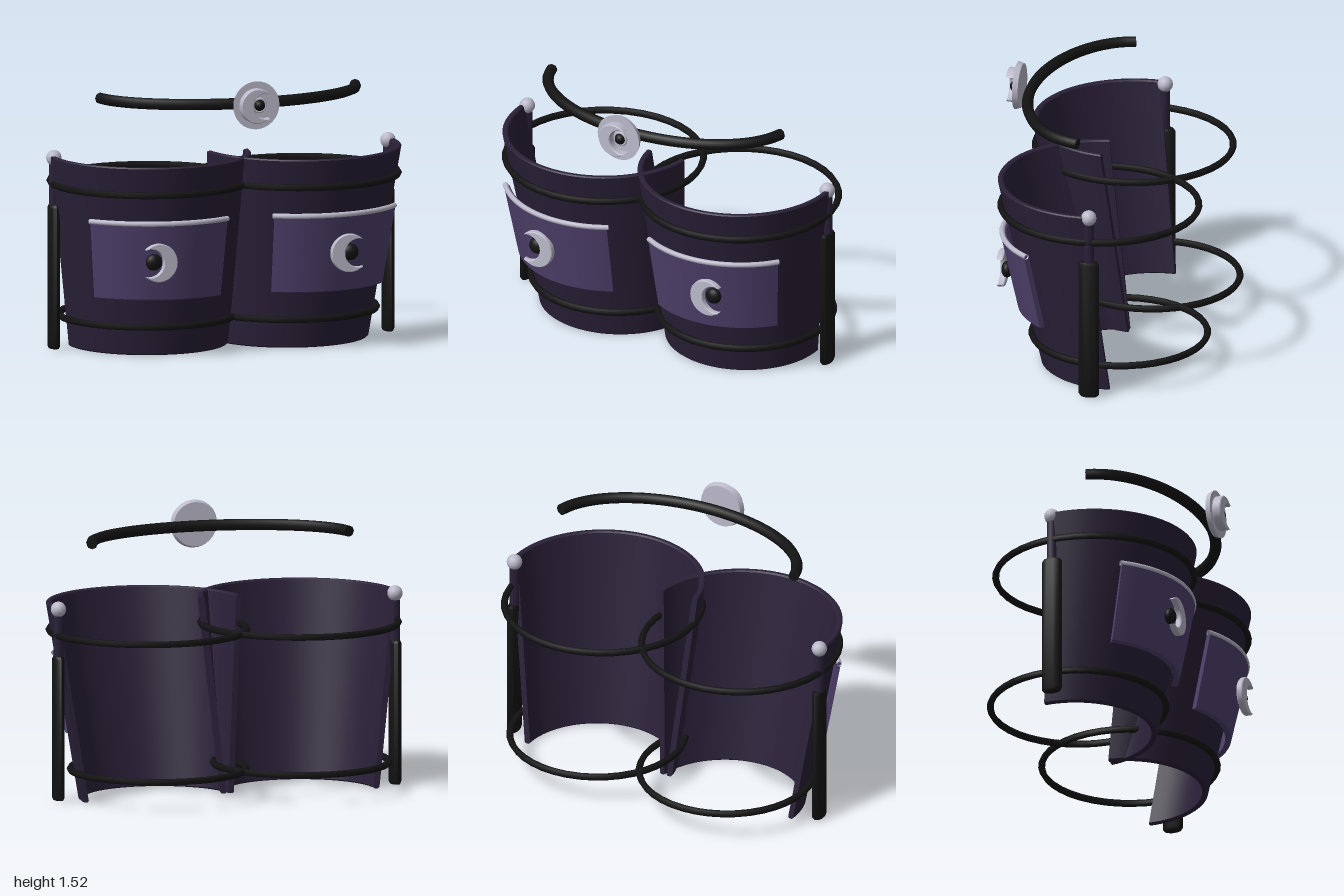
import * as THREE from 'three';
import { toCreasedNormals } from 'three/addons/utils/BufferGeometryUtils.js';

const mat = (color) => new THREE.MeshStandardMaterial({ color });
const CLOTH = mat(0x2a2038), POCKET = mat(0x51426f), BLACK = mat(0x131313), SILVER = mat(0xbcbacb);
const TOP = 1.07, RAD = Math.PI / 180;

function add(parent, name, geometry, material, x = 0, y = 0, z = 0) {
  const mesh = new THREE.Mesh(geometry, material);
  mesh.name = name;
  mesh.position.set(x, y, z);
  parent.add(mesh);
  return mesh;
}

// Point on the leaning, tapered cup: angle from +x towards +z, height, offset from its outer wall
function cupPoint(angle, y, offset) {
  const t = y / TOP, r = 0.44 + 0.115 * t + offset;
  return new THREE.Vector3(0.4 + 0.03 * t + r * Math.cos(angle), y, -0.12 + 0.12 * t + r * Math.sin(angle));
}

// Closed [offset, y] outline (outer bottom first, going up) swept around part of the cup
function cupPanel(outline, from, to, steps) {
  const n = outline.length, pos = [], index = [];
  for (let i = 0; i <= steps; i++) {
    const a = (from + (to - from) * i / steps) * RAD;
    for (const [o, y] of outline) pos.push(...cupPoint(a, y, o).toArray());
  }
  for (let i = 0; i < steps; i++) {
    for (let j = 0; j < n; j++) {
      const a = i * n + j, b = i * n + (j + 1) % n;
      index.push(a, b, b + n, a, b + n, a + n);
    }
  }
  const e = steps * n;
  for (let j = 1; j < n - 1; j++) index.push(0, j + 1, j, e, e + j, e + j + 1);
  const g = new THREE.BufferGeometry();
  g.setAttribute('position', new THREE.Float32BufferAttribute(pos, 3));
  g.setIndex(index);
  return toCreasedNormals(g, 0.5);
}

// Panel outline with chamfered corners
function slab(inner, outer, y0, y1, c) {
  return [[outer - c, y0], [outer, y0 + c], [outer, y1 - c], [outer - c, y1],
    [inner + c, y1], [inner, y1 - c], [inner, y0 + c], [inner + c, y0]];
}

// Crescent with its thick side towards -x
function crescent(r, depth) {
  const d = r * 0.48, q = r * 0.74;
  const ix = (r * r - q * q + d * d) / (2 * d), iy = Math.sqrt(r * r - ix * ix);
  const a = Math.atan2(iy, ix), b = Math.atan2(iy, ix - d);
  const s = new THREE.Shape();
  s.absarc(0, 0, r, a, 2 * Math.PI - a, false);
  s.absarc(d, 0, q, 2 * Math.PI - b, b, true);
  return new THREE.ExtrudeGeometry(s, {
    depth: depth - 0.01, curveSegments: 24, bevelThickness: 0.005, bevelSize: 0.004, bevelOffset: -0.004, bevelSegments: 1,
  });
}

function hoop(parent, name, r, x, y, z) {
  add(parent, name, new THREE.TorusGeometry(r, 0.019, 6, 40).rotateX(Math.PI / 2), BLACK, x, y, z);
}

function createCup() {
  const cup = new THREE.Group();
  add(cup, 'shell', cupPanel(slab(-0.032, 0, 0.003, TOP, 0.007), -3, 173, 40), CLOTH);
  hoop(cup, 'upperHoop', 0.538, 0.43, 0.915, 0);
  hoop(cup, 'lowerHoop', 0.477, 0.405, 0.165, -0.105);

  // Pocket with a piped top edge
  add(cup, 'pocket', cupPanel(slab(0.022, 0.055, 0.325, 0.76, 0.005), 38.5, 120, 20), POCKET);
  const edge = [];
  for (let i = 0; i <= 12; i++) edge.push(cupPoint((37.5 + 83.5 * i / 12) * RAD, 0.758, 0.045));
  const trim = new THREE.TubeGeometry(new THREE.CatmullRomCurve3(edge), 24, 0.015, 8);
  add(cup, 'pocketTrim', trim, SILVER).material = Object.assign(SILVER.clone(), { side: THREE.DoubleSide });

  // Pocket ornament
  add(cup, 'pocketCrescent', crescent(0.105, 0.035), SILVER, 0.545, 0.545, 0.503);
  add(cup, 'pocketStud', new THREE.SphereGeometry(0.046, 16, 12).scale(1, 1, 0.7), BLACK, 0.562, 0.545, 0.485);

  // Side post, its sleeve and ball finial
  add(cup, 'sidePost', new THREE.CylinderGeometry(0.028, 0.028, 0.98, 8), CLOTH, 0.955, 0.53, -0.055);
  const sleeve = new THREE.LatheGeometry(
    [[0, 0], [0.047, 0], [0.058, 0.014], [0.058, 0.776], [0.047, 0.79], [0, 0.79]].map((p) => new THREE.Vector2(...p)), 10);
  add(cup, 'postSleeve', toCreasedNormals(sleeve.scale(0.55, 1, 1), 0.7), BLACK, 0.955, 0.01, -0.055);
  add(cup, 'postBall', new THREE.SphereGeometry(0.043, 12, 8), SILVER, 0.955, 1.057, -0.055);
  return cup;
}

export function createModel() {
  const model = new THREE.Group();
  model.name = 'model';

  const left = createCup();
  left.name = 'leftCup';
  const right = createCup();
  right.name = 'rightCup';
  right.scale.x = -1;
  model.add(left, right);

  // Curved bar floating above, with closed ends
  const arc = [];
  for (let i = 0; i <= 24; i++) {
    const a = (7 + 166 * i / 24) * RAD;
    arc.push(new THREE.Vector3(0.735 * Math.cos(a), 1.39, 0.47 * Math.sin(a)));
  }
  const curve = new THREE.CatmullRomCurve3(arc);
  add(model, 'upperBar', new THREE.TubeGeometry(curve, 40, 0.031, 8), BLACK);
  for (const t of [0, 1]) {
    const cap = add(model, 'barEnd', new THREE.CircleGeometry(0.031, 8), BLACK);
    cap.position.copy(curve.getPoint(t));
    cap.lookAt(cap.position.clone().addScaledVector(curve.getTangent(t), t ? 1 : -1));
  }

  // Medallion in front of the bar
  const medallion = new THREE.Group();
  medallion.name = 'medallion';
  medallion.position.set(0, 1.39, 0);
  model.add(medallion);
  const disc = new THREE.CylinderGeometry(0.122, 0.132, 0.03, 32).rotateX(-Math.PI / 2);
  add(medallion, 'disc', disc, SILVER, 0, 0, 0.541);
  add(medallion, 'crescent', crescent(0.095, 0.05), SILVER, -0.004, 0, 0.56);
  add(medallion, 'studRing', new THREE.TorusGeometry(0.036, 0.007, 8, 24), SILVER, 0.016, 0, 0.561);
  add(medallion, 'stud', new THREE.SphereGeometry(0.031, 16, 12), BLACK, 0.016, 0, 0.561);
  return model;
}
